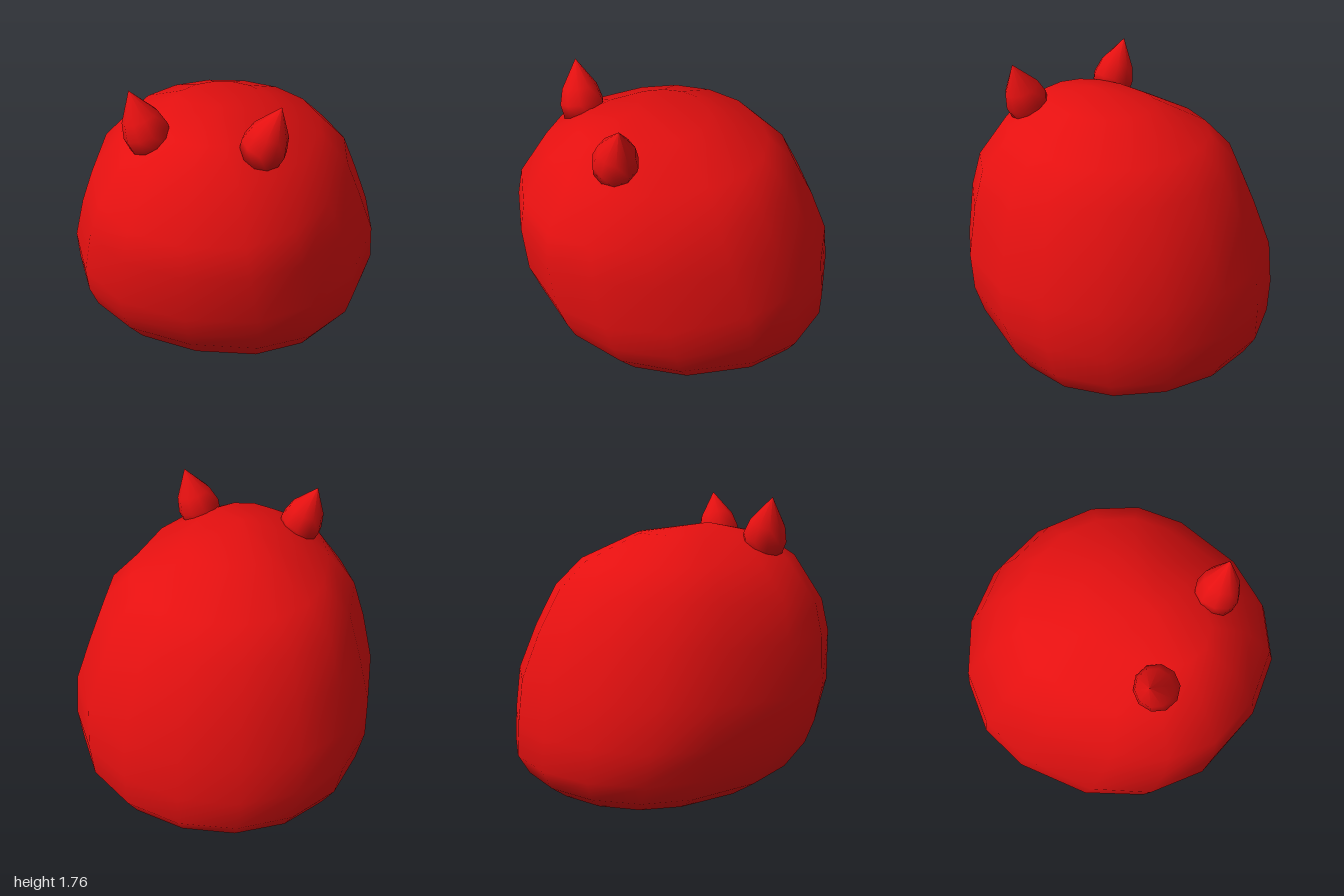
import * as THREE from 'three';

const SIDES = 16;

// Body rings, bottom to top: front z, front y, back z, back y, half width
const RINGS = [
  [0.60, 0.05, -0.82, 0.00, 0.70],
  [0.75, 0.16, -0.93, 0.08, 0.83],
  [0.88, 0.33, -1.00, 0.20, 0.91],
  [0.93, 0.45, -0.99, 0.40, 0.95],
  [0.98, 0.60, -0.96, 0.67, 0.94],
  [1.00, 0.91, -0.85, 0.95, 0.85],
  [0.965, 1.10, -0.72, 1.20, 0.765],
  [0.79, 1.39, -0.55, 1.37, 0.59],
  [0.60, 1.52, -0.20, 1.53, 0.29],
];

function bodyGeometry() {
  const pos = [];
  const index = [];
  for (const [zf, yf, zb, yb, hw] of RINGS) {
    const mid = (zf + zb) / 2 - 0.1; // widest slightly behind the middle
    for (let j = 0; j < SIDES; j++) {
      const a = (j / SIDES) * Math.PI * 2;
      const s = Math.sin(a);
      const c = Math.cos(a);
      const p = c > 0 ? 2 / 2.3 : 1; // fuller curve at the front
      const x = hw * Math.sign(s) * Math.abs(s) ** p;
      const z = mid + Math.sign(c) * Math.abs(c) ** p * (c > 0 ? zf - mid : mid - zb);
      const t = (z - zb) / (zf - zb);
      pos.push(x, yb + (yf - yb) * t * t, z);
    }
  }
  const bottom = RINGS.length * SIDES;
  const top = bottom + 1;
  pos.push(0, 0.005, 0.1, 0, 1.585, 0.26);

  const last = (RINGS.length - 1) * SIDES;
  for (let j = 0; j < SIDES; j++) {
    const k = (j + 1) % SIDES;
    for (let r = 0; r < last; r += SIDES) {
      index.push(r + j, r + k, r + SIDES + k, r + j, r + SIDES + k, r + SIDES + j);
    }
    index.push(bottom, k, j, top, last + j, last + k);
  }
  const geo = new THREE.BufferGeometry();
  geo.setAttribute('position', new THREE.Float32BufferAttribute(pos, 3));
  geo.setIndex(index);
  geo.computeVertexNormals();
  return geo;
}

export function createModel() {
  const group = new THREE.Group();
  const red = new THREE.MeshStandardMaterial({ color: 0xe51010 });

  // Rounded body with a flat underside
  const body = new THREE.Mesh(bodyGeometry(), red);
  body.name = 'body';
  group.add(body);

  // Pointed ears, sunk into the head and leaning outward
  const profile = [[0, -0.1], [0.12, -0.09], [0.134, 0], [0.108, 0.095], [0, 0.262]]
    .map(([r, y]) => new THREE.Vector2(r, y));
  const earGeo = new THREE.LatheGeometry(profile, 10);
  for (const side of [1, -1]) {
    const ear = new THREE.Mesh(earGeo, red);
    ear.name = side > 0 ? 'leftEar' : 'rightEar';
    ear.position.set(side * 0.34, 1.51, 0.485);
    ear.rotation.z = -side * 0.35;
    group.add(ear);
  }
  return group;
}
